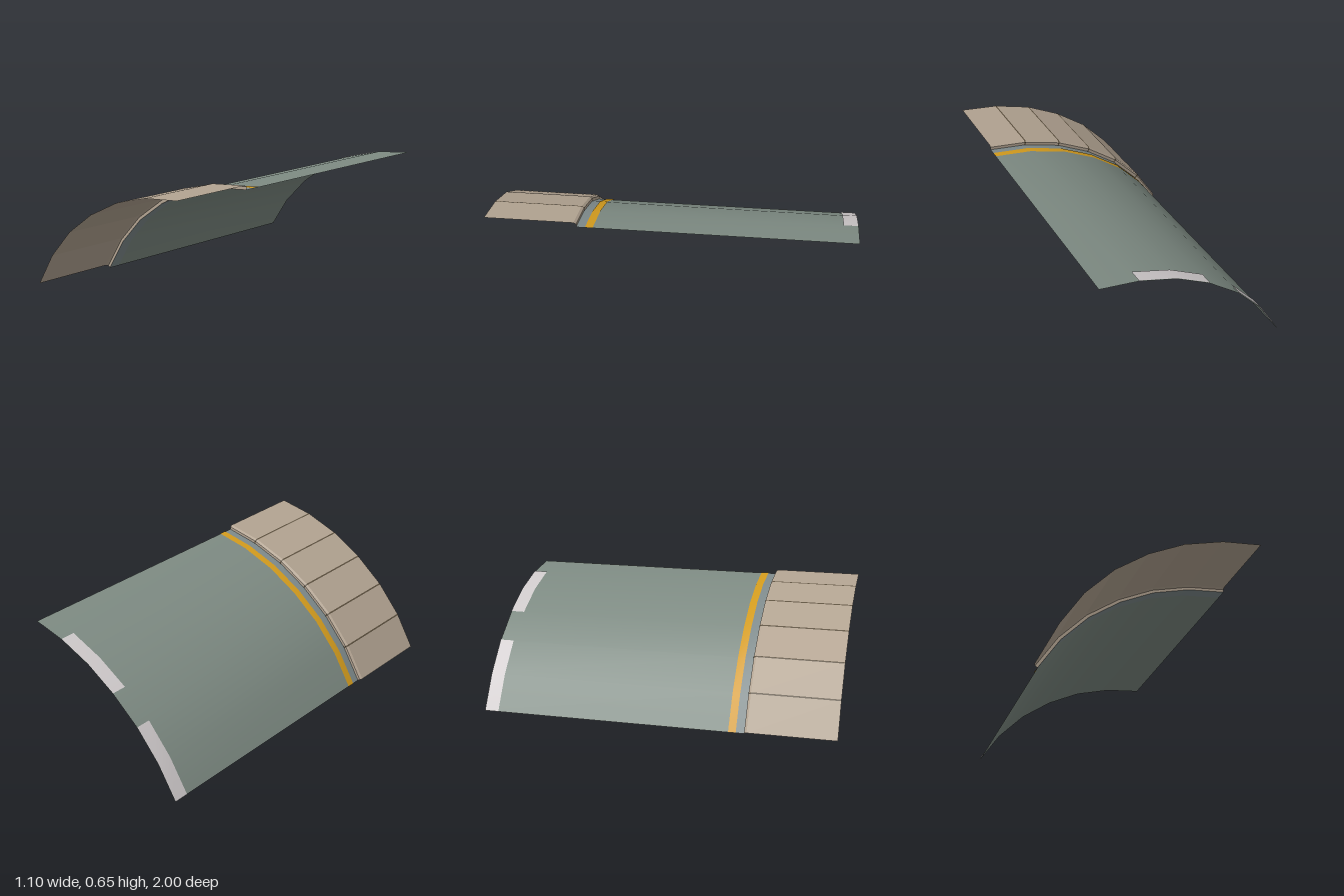
import * as THREE from 'three';

// Cross-section of the curved deck, from the low edge to the crown
const ARC = [[-0.53, 0], [-0.408, 0.182], [-0.255, 0.337], [-0.075, 0.46], [0.12, 0.551], [0.335, 0.607], [0.55, 0.627]]
  .map(([x, y]) => new THREE.Vector2(x, y));

// Outward mitred offset at each corner of the cross-section
const MITRE = ARC.map((p, i) => {
  const normal = (a, b) => new THREE.Vector2(a.y - b.y, b.x - a.x).normalize();
  const before = i > 0 ? normal(ARC[i - 1], p) : null;
  const after = i < ARC.length - 1 ? normal(p, ARC[i + 1]) : null;
  if (!before) return after;
  if (!after) return new THREE.Vector2(0, 1);
  const sum = before.clone().add(after).normalize();
  return sum.divideScalar(sum.dot(after));
});

// Point at position u (in corners) along the section, raised by d
function sectionPoint(u, d) {
  const i = Math.min(Math.floor(u), ARC.length - 2);
  const p = ARC[i].clone().lerp(ARC[i + 1], u - i);
  const n = MITRE[i].clone().lerp(MITRE[i + 1], u - i);
  return p.addScaledVector(n, d);
}

// Sheet following the section; rows are [raise, z] pairs
function sheet(name, us, rows, material, flat = false) {
  const positions = [], index = [];
  for (const [d, z] of rows) {
    for (const u of us) {
      const p = sectionPoint(u, d);
      positions.push(p.x, p.y, z);
    }
  }
  const n = us.length;
  for (let r = 0; r < rows.length - 1; r++) {
    for (let i = 0; i < n - 1; i++) {
      const a = r * n + i, b = a + n;
      index.push(a, b, b + 1, a, b + 1, a + 1);
    }
  }
  let geometry = new THREE.BufferGeometry();
  geometry.setAttribute('position', new THREE.Float32BufferAttribute(positions, 3));
  geometry.setIndex(index);
  if (flat) geometry = geometry.toNonIndexed();
  geometry.computeVertexNormals();
  const mesh = new THREE.Mesh(geometry, material);
  mesh.name = name;
  return mesh;
}

function paint(name, color) {
  const material = new THREE.MeshStandardMaterial({ color, side: THREE.DoubleSide });
  material.name = name;
  return material;
}

export function createModel() {
  const group = new THREE.Group();
  group.name = 'curvedRoad';
  const asphalt = paint('asphalt', 0x7e8b83);
  const gutter = paint('gutterGrey', 0x7f8b8c);
  const yellow = paint('yellowLine', 0xd49c1e);
  const white = paint('whiteLine', 0xcfcacb);
  const stone = paint('pavingStone', 0xb3a492);
  const joint = paint('pavingJoint', 0x5e5240);
  const all = ARC.map((_, i) => i);

  // Road deck and gutter
  group.add(sheet('road', all, [[0, -1], [0, 0.43]], asphalt));
  group.add(sheet('gutter', all, [[0, 0.43], [0, 0.5]], gutter));

  // Painted lines
  group.add(sheet('edgeLine', all, [[0.003, 0.408], [0.003, 0.45]], yellow));
  for (const start of [0, 3]) {
    group.add(sheet('laneDash', [start, start + 1, start + 2], [[0.004, -1], [0.004, -0.92]], white));
  }

  // Raised pavement with a chamfered kerb
  const kerb = [[0, 0.498], [0.017, 0.498], [0.025, 0.512], [0.025, 1]];
  group.add(sheet('pavement', all, kerb, stone, true));

  // Dark joints between the paving slabs
  const raised = [[0, 0.497], [0.0175, 0.497], [0.0262, 0.511], [0.0262, 1]];
  for (let i = 1; i < ARC.length - 1; i++) {
    group.add(sheet('pavingJoint', [i - 0.02, i, i + 0.02], raised, joint, true));
  }
  return group;
}
